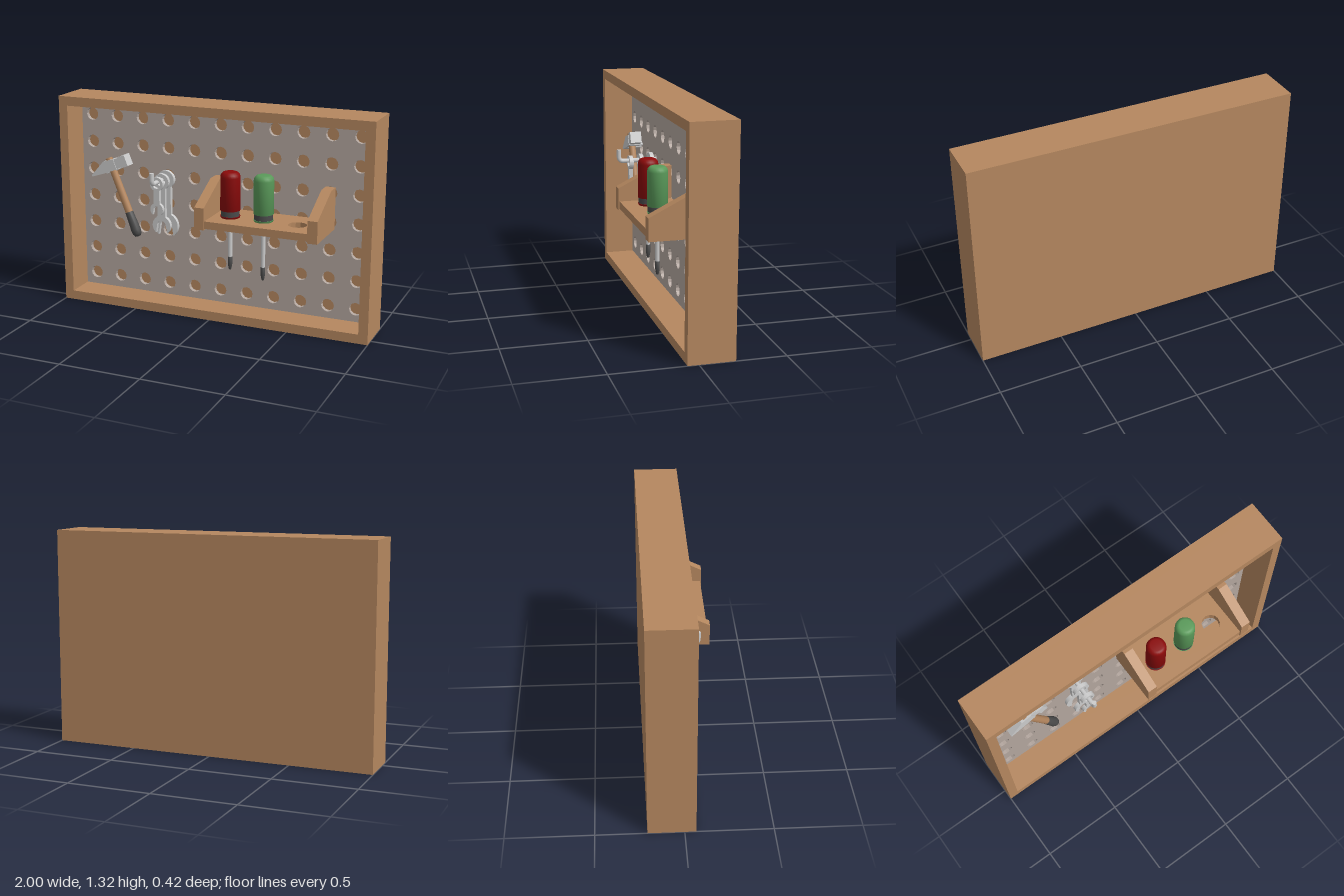
import * as THREE from 'three';

const mat = (color, opts = {}) => new THREE.MeshStandardMaterial({ color, ...opts });
const wood = mat(0xb5875f);
const boardGrey = mat(0xb3a69e);
const metal = mat(0xcccccc);
const rubber = mat(0x4a4a4a);
const red = mat(0x8b0a0a);
const green = mat(0x5a9a5a);

function add(parent, name, geometry, material, x = 0, y = 0, z = 0) {
  const m = new THREE.Mesh(geometry, material);
  m.name = name;
  m.position.set(x, y, z);
  parent.add(m);
  return m;
}

function group(parent, name, x = 0, y = 0, z = 0) {
  const g = new THREE.Group();
  g.name = name;
  g.position.set(x, y, z);
  parent.add(g);
  return g;
}

const extrude = (shape, depth, curveSegments = 12) =>
  new THREE.ExtrudeGeometry(shape, { depth, bevelEnabled: false, curveSegments });

const polygon = pts => new THREE.Shape(pts.map(p => new THREE.Vector2(...p)));
const rect = (x0, y0, x1, y1) => polygon([[x0, y0], [x1, y0], [x1, y1], [x0, y1]]);
const lathe = (pts, sides = 24) => new THREE.LatheGeometry(pts.map(p => new THREE.Vector2(...p)), sides);

function circle(x, y, r) {
  const p = new THREE.Path();
  p.absarc(x, y, r, 0, Math.PI * 2, true);
  return p;
}

// Deep wooden tray with a perforated board set inside
function cabinet(root) {
  const g = group(root, 'cabinet');
  const rim = rect(-1, 0, 1, 1.315);
  rim.holes.push(rect(-0.943, 0.057, 0.943, 1.258));
  add(g, 'frame', extrude(rim, 0.215), wood, 0, 0, -0.15);
  add(g, 'backPanel', new THREE.BoxGeometry(2, 1.315, 0.058), wood, 0, 0.6575, -0.179);
  const board = rect(-0.943, 0.057, 0.943, 1.258);
  for (let i = 0; i < 11; i++)
    for (let j = 0; j < 7; j++) board.holes.push(circle((i - 5) * 0.174, 0.137 + j * 0.174, 0.04));
  add(g, 'pegboard', extrude(board, 0.028, 6), boardGrey, 0, 0, -0.148);
}

// Tool shelf with drilled plank and two sloped brackets
function shelf(root) {
  const g = group(root, 'shelf');
  const plank = rect(0.03, -0.12, 0.665, 0.2);
  for (const x of [0.135, 0.345, 0.555]) plank.holes.push(circle(x, 0.052, 0.056));
  add(g, 'shelfPlank', extrude(plank, 0.045, 6), wood, 0, 0.67, 0).rotation.x = Math.PI / 2;
  const side = polygon([[-0.12, 0.617], [0.207, 0.617], [0.207, 0.75], [-0.035, 0.87], [-0.12, 0.87]]);
  for (const x of [-0.03, 0.665])
    add(g, 'shelfBracket', extrude(side, 0.06), wood, x + 0.06, 0, 0).rotation.y = -Math.PI / 2;
  // the profile's first axis runs along z, its thickness along -x
}

// Screwdriver hanging by its handle through the shelf
function screwdriver(root, x, color, tipY) {
  const g = group(root, 'screwdriver', x, 0, 0.053);
  add(g, 'screwdriverHandle', lathe([[0, 0.715], [0.06, 0.715], [0.06, 0.915], [0.056, 0.932],
    [0.046, 0.943], [0.035, 0.947], [0, 0.947]]), color);
  add(g, 'handleCollar', new THREE.CylinderGeometry(0.056, 0.056, 0.036, 24), rubber, 0, 0.698, 0);
  add(g, 'handleFoot', new THREE.CylinderGeometry(0.06, 0.056, 0.012, 24), color, 0, 0.675, 0);
  const top = tipY + 0.08;
  add(g, 'screwdriverShaft', new THREE.CylinderGeometry(0.013, 0.013, 0.68 - top, 12), metal, 0, (0.68 + top) / 2, 0);
  add(g, 'screwdriverTip', lathe([[0, 0], [0.007, 0], [0.014, 0.035], [0.014, 0.08], [0, 0.08]], 12), rubber, 0, tipY, 0);
}

// Hammer, tilted, with a wedge-shaped peen
function hammer(root) {
  const g = group(root, 'hammer', -0.711, 0.877, -0.058);
  g.rotation.z = 0.384;
  add(g, 'hammerHandle', new THREE.CylinderGeometry(0.022, 0.024, 0.375, 12), wood, 0, -0.1375, 0);
  add(g, 'hammerGrip', lathe([[0, -0.476], [0.018, -0.472], [0.028, -0.455], [0.031, -0.43], [0.025, -0.31],
    [0, -0.31]], 16), rubber);
  const peen = polygon([[0.04, -0.033], [0.04, 0.034], [-0.03, 0.041], [-0.142, -0.016], [-0.142, -0.026], [-0.03, -0.033]]);
  add(g, 'hammerPeen', extrude(peen, 0.06), metal, 0, 0, -0.03);
  add(g, 'hammerNeck', new THREE.BoxGeometry(0.05, 0.062, 0.052), metal, 0.06, 0.001, 0);
  add(g, 'hammerFace', new THREE.BoxGeometry(0.05, 0.072, 0.072), metal, 0.102, 0.001, 0);
  // pegs that carry the head
  for (const x of [-0.036, 0.036]) {
    const peg = add(g, 'hammerPeg', new THREE.CylinderGeometry(0.01, 0.01, 0.09, 10), metal, x, -0.03, -0.025);
    peg.rotation.x = Math.PI / 2;
  }
}

// Flat spanner: ring at the origin, open jaw facing down
function spanner(root, z, ringR, width, jawR, bottom) {
  const ringY = 0.818;
  const len = ringY - bottom - jawR * 0.92;
  const a = Math.asin(width / ringR), b = Math.asin(width / jawR);
  const slot = jawR * 0.5, c = Math.asin(0.62), H = Math.PI / 2;
  const s = new THREE.Shape();
  s.absarc(0, 0, ringR, -H + a, 3 * H - a, false);
  s.absarc(0, -len, jawR, H + b, 3 * H - c, false);
  s.absarc(0, -len, slot, Math.PI, 0, true);
  s.absarc(0, -len, jawR, -H + c, H - b, false);
  s.closePath();
  s.holes.push(circle(0, 0, 0.027));
  add(root, 'spanner', extrude(s, 0.024), metal, -0.35, ringY, z - 0.012);
}

// Upturned hook carrying three spanners
function spannerSet(root) {
  const g = group(root, 'spannerSet');
  const path = new THREE.CurvePath();
  const v = (y, z) => new THREE.Vector3(-0.35, y, z);
  path.add(new THREE.LineCurve3(v(0.83, -0.13), v(0.83, 0.085)));
  path.add(new THREE.QuadraticBezierCurve3(v(0.83, 0.085), v(0.83, 0.113), v(0.858, 0.113)));
  path.add(new THREE.LineCurve3(v(0.858, 0.113), v(0.9, 0.113)));
  add(g, 'hook', new THREE.TubeGeometry(path, 40, 0.014, 10), metal);
  add(g, 'hookEnd', new THREE.CylinderGeometry(0.014, 0.014, 0.004, 10), metal, -0.35, 0.899, 0.113);
  spanner(g, -0.09, 0.056, 0.034, 0.08, 0.45);
  spanner(g, -0.025, 0.05, 0.026, 0.06, 0.485);
  spanner(g, 0.04, 0.043, 0.019, 0.042, 0.62);
}

export function createModel() {
  const root = new THREE.Group();
  root.name = 'toolBoard';
  cabinet(root);
  shelf(root);
  screwdriver(root, 0.135, red, 0.345);
  screwdriver(root, 0.345, green, 0.305);
  hammer(root);
  spannerSet(root);
  return root;
}
